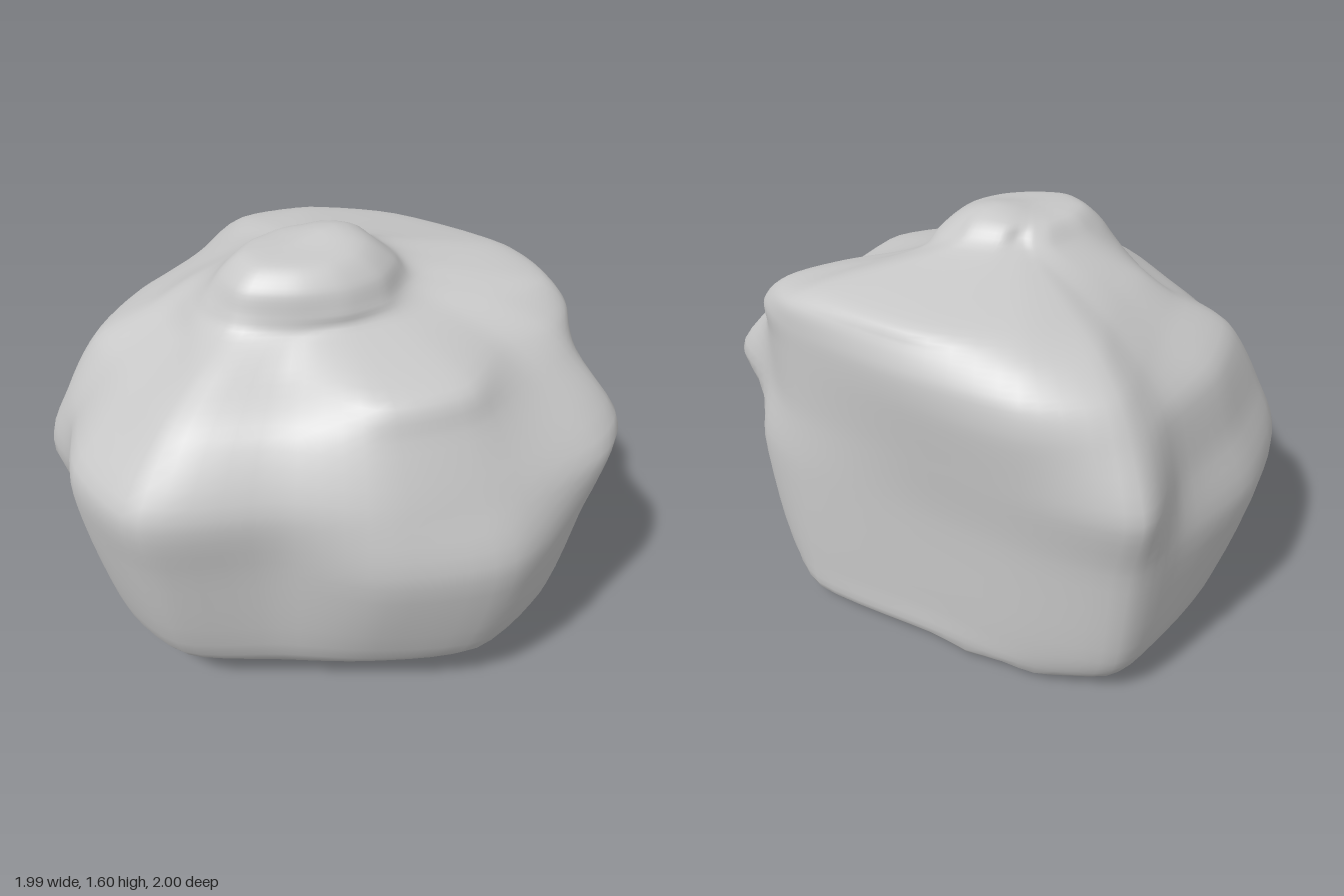
import * as THREE from 'three';
import { mergeVertices } from 'three/addons/utils/BufferGeometryUtils.js';

const SEGMENTS = 80; // around
const STEPS = 60; // from base to top

// Outline directions in degrees, from +x round by the front (+z)
const ANGLES = [0, 17, 30, 44, 68, 92, 116, 140, 162, 180, 195, 220, 245, 262, 285, 320];

// Outline radii in those directions, one row per height
const HEIGHTS = [0.06, 0.22, 0.66, 0.92, 1.15, 1.27, 1.36, 1.42, 1.5];
const RADII = [
  [0.80, 0.84, 0.78, 0.74, 0.65, 0.61, 0.60, 0.66, 0.75, 0.68, 0.70, 0.71, 0.72, 0.77, 0.66, 0.58],
  [0.84, 0.95, 0.90, 0.97, 0.94, 0.81, 0.77, 0.89, 0.88, 0.80, 0.81, 0.84, 0.85, 0.89, 0.71, 0.60],
  [0.85, 1.00, 0.96, 1.08, 1.07, 0.95, 0.84, 1.01, 1.00, 0.94, 1.03, 0.96, 0.91, 0.95, 0.74, 0.62],
  [0.83, 0.95, 1.14, 1.12, 0.98, 0.91, 0.86, 1.05, 1.01, 0.93, 0.95, 0.87, 0.86, 1.01, 0.78, 0.65],
  [0.83, 0.93, 0.97, 0.88, 0.86, 0.81, 0.74, 0.87, 0.77, 0.76, 0.82, 0.78, 0.79, 0.90, 0.80, 0.68],
  [0.83, 0.93, 0.86, 0.72, 0.78, 0.73, 0.56, 0.69, 0.58, 0.57, 0.61, 0.58, 0.66, 0.81, 0.77, 0.68],
  [0.81, 0.83, 0.66, 0.50, 0.45, 0.44, 0.45, 0.52, 0.50, 0.48, 0.48, 0.43, 0.50, 0.66, 0.68, 0.64],
  [0.69, 0.52, 0.40, 0.37, 0.39, 0.41, 0.43, 0.48, 0.46, 0.41, 0.37, 0.32, 0.34, 0.44, 0.53, 0.57],
  [0.23, 0.25, 0.28, 0.31, 0.35, 0.38, 0.41, 0.45, 0.40, 0.30, 0.22, 0.16, 0.12, 0.10, 0.10, 0.14],
];

// Smooth closed outline at one height
function ring(radii, y) {
  const points = radii.map((r, i) => {
    const a = THREE.MathUtils.degToRad(ANGLES[i]);
    return new THREE.Vector3(Math.cos(a) * r, y, Math.sin(a) * r);
  });
  const curve = new THREE.CatmullRomCurve3(points, true, 'catmullrom', 0.4);
  return Array.from({ length: SEGMENTS }, (_, j) => curve.getPoint(j / SEGMENTS));
}

// Copy of an outline shrunk towards a centre at a new height
function shrink(outline, centre, scale) {
  return outline.map((p) => new THREE.Vector3(
    centre.x + (p.x - centre.x) * scale, centre.y, centre.z + (p.z - centre.z) * scale));
}

// Smooth round bump, 1 at its centre
const bump = (p, x, z, width) => Math.exp(-((p.x - x) ** 2 + (p.z - z) ** 2) / width);

function boulderGeometry() {
  const rings = RADII.map((row, i) => ring(row, HEIGHTS[i]));
  const summit = new THREE.Vector3(-0.12, 1.565, 0.16);
  const base = new THREE.Vector3(0, 0.035, 0);
  const first = rings[0];
  const last = rings[rings.length - 1];
  rings.unshift(shrink(first, base, 0), shrink(first, base, 0.6));
  rings.push(shrink(last, summit, 0.68), shrink(last, summit.clone().setY(1.58), 0));

  // Columns run smoothly through the outlines from base to summit
  const positions = [];
  const index = [];
  for (let j = 0; j < SEGMENTS; j++) {
    const column = new THREE.CatmullRomCurve3(rings.map((r) => r[j]), false, 'catmullrom', 0.4);
    for (let i = 0; i <= STEPS; i++) {
      const p = column.getPoint(i / STEPS);
      // Small nubs under the base and a slight knob on the summit
      if (p.y < 0.1) p.y -= 0.035 * bump(p, 0.29, -0.45, 0.008) + 0.02 * bump(p, 0.1, -0.67, 0.008);
      if (p.y > 1.45) p.y += 0.035 * bump(p, 0.04, 0.1, 0.015);
      positions.push(p.x, p.y, p.z);
      if (i === STEPS) continue;
      const a = j * (STEPS + 1) + i;
      const c = ((j + 1) % SEGMENTS) * (STEPS + 1) + i;
      if (i > 0) index.push(a, a + 1, c);
      if (i < STEPS - 1) index.push(a + 1, c + 1, c);
    }
  }
  const geometry = new THREE.BufferGeometry();
  geometry.setAttribute('position', new THREE.Float32BufferAttribute(positions, 3));
  geometry.setIndex(index);
  const welded = mergeVertices(geometry, 1e-4);
  welded.computeVertexNormals();
  return welded;
}

export function createModel() {
  const stone = new THREE.MeshStandardMaterial({ color: 0xc8c8c8 });
  stone.name = 'grey stone';
  const boulder = new THREE.Mesh(boulderGeometry(), stone);
  boulder.name = 'boulder';
  const model = new THREE.Group();
  model.name = 'rock';
  model.add(boulder);
  return model;
}
